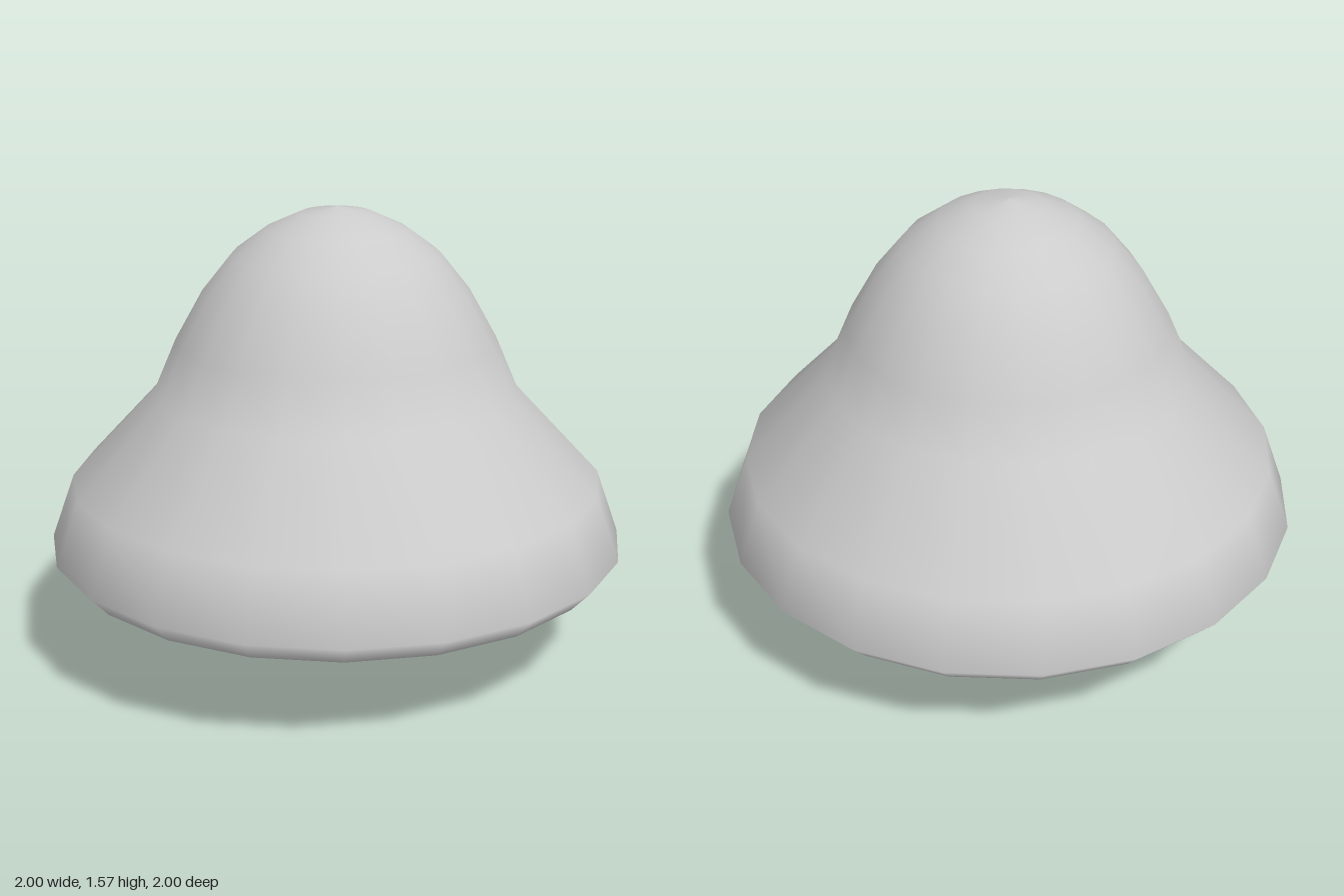
import * as THREE from 'three';

const SIDES = 20;
const UNDERSIDE = 0.33;

export function createModel() {
  const model = new THREE.Group();
  model.name = 'mushroom';
  const material = new THREE.MeshStandardMaterial({ color: 0xcccccc });
  const add = (name, geometry, mat = material) => {
    const mesh = new THREE.Mesh(geometry, mat);
    mesh.name = name;
    model.add(mesh);
    return mesh;
  };

  // Cap: bevelled rim, sloping skirt and rounded dome in one smooth profile
  const profile = [
    [0.935, UNDERSIDE], [1, 0.4], [0.92, 0.625], [0.625, 0.94], [0.55, 1.115],
    [0.455, 1.285], [0.355, 1.41], [0.24, 1.495], [0.12, 1.55], [0, 1.57],
  ].map(([r, y]) => new THREE.Vector2(r, y));
  add('cap', new THREE.LatheGeometry(profile, SIDES));

  // Flat underside, kept separate for a sharp rim
  const disc = new THREE.CircleGeometry(0.935, SIDES);
  disc.rotateX(Math.PI / 2);
  add('capUnderside', disc).position.y = UNDERSIDE;

  // Stem: hollow flared tube whose lower rim is cut to a V, low at both sides
  const stem = new THREE.CylinderGeometry(0.235, 0.265, UNDERSIDE, SIDES, 1, true);
  stem.translate(0, UNDERSIDE / 2, 0);
  const pos = stem.attributes.position;
  for (let i = 0; i < pos.count; i++) {
    if (pos.getY(i) > 0.1) continue;
    const x = pos.getX(i), z = pos.getZ(i);
    const t = Math.abs(x) / 0.265;
    const low = x < 0 ? 0.025 : 0;
    let y = 0.145 + (low - 0.145) * t;
    if (z > 0) y = Math.min(y, 0.117);
    const r = 0.265 - 0.03 * y / UNDERSIDE;
    pos.setXYZ(i, x * r / 0.265, y, z * r / 0.265);
  }
  add('stem', stem, new THREE.MeshStandardMaterial({ color: 0xcccccc, side: THREE.DoubleSide }));

  return model;
}
